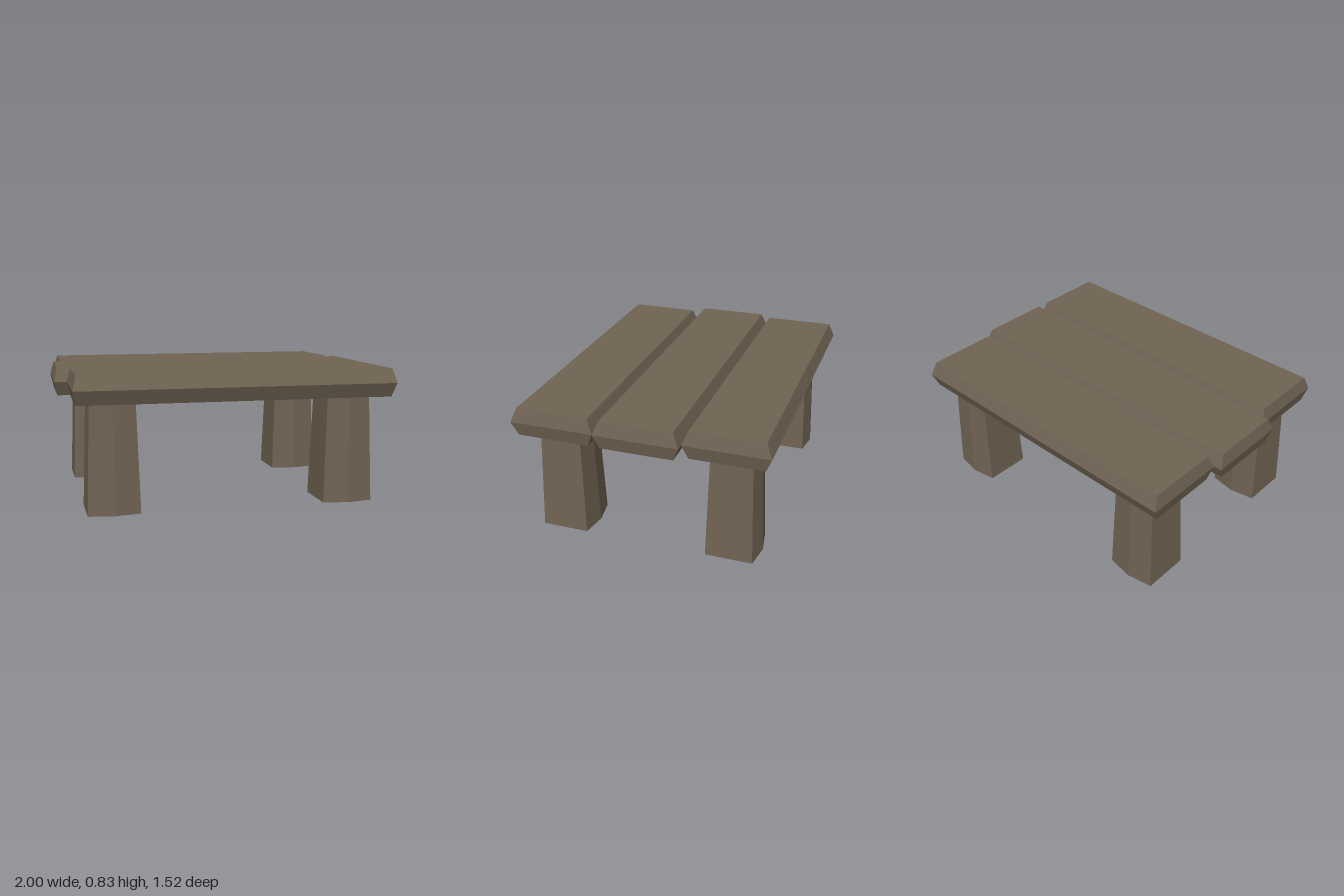
import * as THREE from 'three';

const wood = new THREE.MeshStandardMaterial({ color: 0x706353, flatShading: true, roughness: 0.9 });

// Skin through stacked rings of [x, y, z] points (bottom to top), closed by a fan at each end.
function loft(rings, bottomY, topY) {
  const pos = [];
  const tri = (a, b, c) => pos.push(...a, ...b, ...c);
  const n = rings[0].length;
  const last = rings[rings.length - 1];
  const centre = (ring, y) => [
    ring.reduce((s, p) => s + p[0], 0) / n, y,
    ring.reduce((s, p) => s + p[2], 0) / n,
  ];
  const low = centre(rings[0], bottomY);
  const high = centre(last, topY);
  for (let i = 0; i < n; i++) {
    const j = (i + 1) % n;
    for (let k = 0; k + 1 < rings.length; k++) {
      const a = rings[k], b = rings[k + 1];
      tri(a[i], a[j], b[j]);
      tri(a[i], b[j], b[i]);
    }
    tri(low, rings[0][j], rings[0][i]);
    tri(high, last[i], last[j]);
  }
  const g = new THREE.BufferGeometry();
  g.setAttribute('position', new THREE.Float32BufferAttribute(pos, 3));
  g.computeVertexNormals();
  return g;
}

// Plank whose long sides and ends come to a blunt point at mid height
function plank(name, x0, x1, z0, z1) {
  const ring = (y, dx, dz) => [
    [x0 + dx, y, z1 - dz], [x1 - dx, y, z1 - dz],
    [x1 - dx, y, z0 + dz], [x0 + dx, y, z0 + dz],
  ];
  const rings = [ring(0.66, 0.02, 0.035), ring(0.745, 0, 0), ring(0.83, 0.02, 0.035)];
  const mesh = new THREE.Mesh(loft(rings, 0.66, 0.83), wood);
  mesh.name = name;
  return mesh;
}

// Tapered six-sided leg: flat sides, slightly ridged front and back, faintly domed foot
function leg(name, x, z) {
  const ring = (y, s) => [
    [-0.155, 0.142], [0, 0.167], [0.155, 0.142],
    [0.155, -0.142], [0, -0.167], [-0.155, -0.142],
  ].map(([px, pz]) => [px * s, y, pz * s]);
  const mesh = new THREE.Mesh(loft([ring(0.01, 1), ring(0.67, 0.86)], 0, 0.67), wood);
  mesh.position.set(x, 0, z);
  mesh.name = name;
  return mesh;
}

export function createModel() {
  const table = new THREE.Group();
  table.name = 'plankTable';

  // Table top of three uneven planks
  table.add(
    plank('backPlank', -0.95, 0.955, -0.76, -0.255),
    plank('middlePlank', -1, 1, -0.253, 0.253),
    plank('frontPlank', -0.925, 0.995, 0.255, 0.76),
  );

  // Four legs under the outer planks
  for (const [end, z] of [['front', 0.517], ['back', -0.517]]) {
    table.add(leg(end + 'RightLeg', -0.695, z), leg(end + 'LeftLeg', 0.735, z));
  }
  return table;
}
